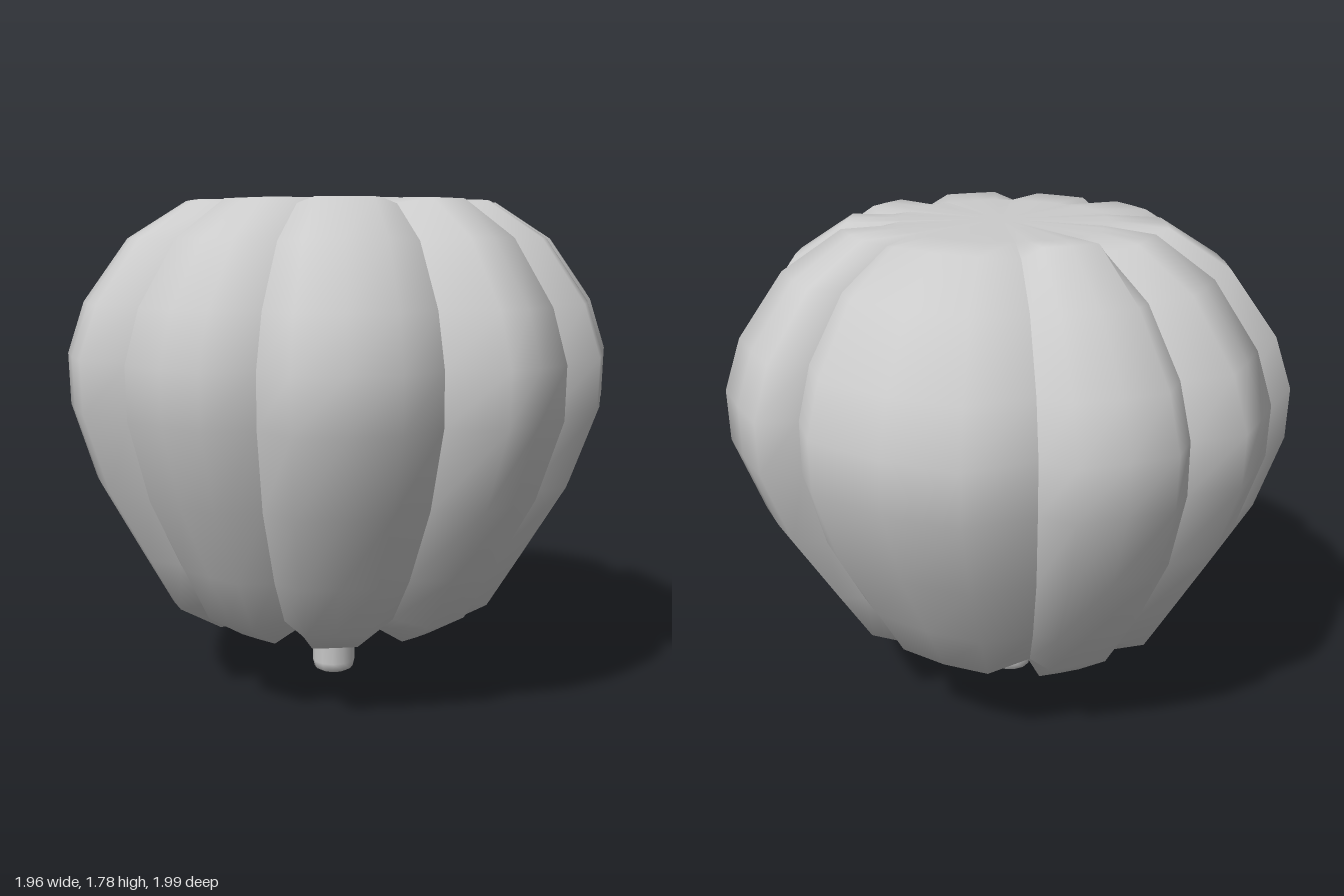
import * as THREE from 'three';

const material = new THREE.MeshStandardMaterial({ color: 0xcccccc });

// Plan of the grooves [x, z] at the widest height, and the outer points of the lobe after each
const grooves = [
  [0.84, 0.03], [0.74, -0.45], [0.06, -0.92], [-0.43, -0.85], [-0.76, -0.44],
  [-0.88, 0.03], [-0.69, 0.53], [-0.25, 0.84], [0.32, 0.8], [0.7, 0.45],
];
const crests = [
  [[0.975, -0.09], [0.88, -0.44]],
  [[0.72, -0.63], [0.52, -0.83], [0.3, -0.97]],
  [[-0.04, -1], [-0.36, -0.96]],
  [[-0.62, -0.83], [-0.8, -0.58]],
  [[-0.93, -0.43], [-0.98, -0.09]],
  [[-0.97, 0.18], [-0.86, 0.49]],
  [[-0.68, 0.66], [-0.42, 0.88]],
  [[-0.14, 0.99], [0.19, 0.95]],
  [[0.52, 0.82], [0.72, 0.62]],
  [[0.87, 0.38], [0.93, 0.1]],
];

// Rows from the flat top to the hollow underside: [scale, height, groove scale, groove height]
const rows = [
  [0, 1.765, 0, 1.765], [0.38, 1.765, 0.42, 1.765], [0.57, 1.76, 0.57, 1.74],
  [0.78, 1.63, 0.78, 1.62], [0.94, 1.41, 0.94, 1.41], [1, 1.23, 1, 1.23],
  [0.995, 1.05, 1, 1.05], [0.9, 0.78, 0.92, 0.78], [0.745, 0.52, 0.77, 0.52],
  [0.63, 0.33, 0.64, 0.36], [0.47, 0.24, 0.48, 0.29], [0.33, 0.25, 0.33, 0.3],
  [0.22, 0.33, 0.22, 0.34], [0, 0.36, 0, 0.36],
];

function lobeGeometry(k) {
  const outer = crests[k];
  // Two-point crests get a middle point so the face shades evenly
  const mid = outer.length === 2
    ? [[(outer[0][0] + outer[1][0]) * 0.503, (outer[0][1] + outer[1][1]) * 0.503]]
    : [outer[1]];
  const section = [grooves[k], outer[0], ...mid, outer[outer.length - 1], grooves[(k + 1) % grooves.length]];
  const n = section.length;
  const positions = [], index = [];
  rows.forEach(([s, y, gs, gy], i) => {
    const lean = -0.03 * Math.max(0, (1.0 - y) / 0.7);
    section.forEach(([x, z], j) => {
      const groove = j === 0 || j === n - 1;
      const scale = groove ? gs : s;
      let height = groove ? gy : y;
      // The back lobe is slightly longer than the others
      if (k === 2 && !groove) {
        if (i === 2) height += 0.025;
        if (i === 10 || i === 11) height -= 0.03;
      }
      positions.push(x * scale + lean, height, z * scale);
      if (i < rows.length - 1 && j < n - 1) {
        const a = i * n + j, b = a + 1, c = a + n, d = c + 1;
        index.push(a, c, b, b, c, d);
      }
    });
  });
  const geometry = new THREE.BufferGeometry();
  geometry.setAttribute('position', new THREE.Float32BufferAttribute(positions, 3));
  geometry.setIndex(index);
  geometry.computeVertexNormals();
  return geometry;
}

export function createModel() {
  const model = new THREE.Group();
  model.name = 'upturnedPumpkin';

  // Ribbed body, one smooth mesh per lobe with sharp seams between
  const body = new THREE.Group();
  body.name = 'body';
  crests.forEach((_, k) => {
    const lobe = new THREE.Mesh(lobeGeometry(k), material);
    lobe.name = `lobe${k + 1}`;
    body.add(lobe);
  });
  model.add(body);

  // Stem flaring into the underside
  const profile = [
    [0, 0], [0.055, 0.002], [0.073, 0.012], [0.08, 0.04], [0.08, 0.14],
    [0.09, 0.2], [0.12, 0.26], [0.18, 0.31], [0.24, 0.35],
  ].map(([r, y]) => new THREE.Vector2(r, y));
  const stem = new THREE.Mesh(new THREE.LatheGeometry(profile, 12), material);
  stem.name = 'stem';
  stem.position.set(-0.035, 0, -0.02);
  model.add(stem);

  return model;
}
